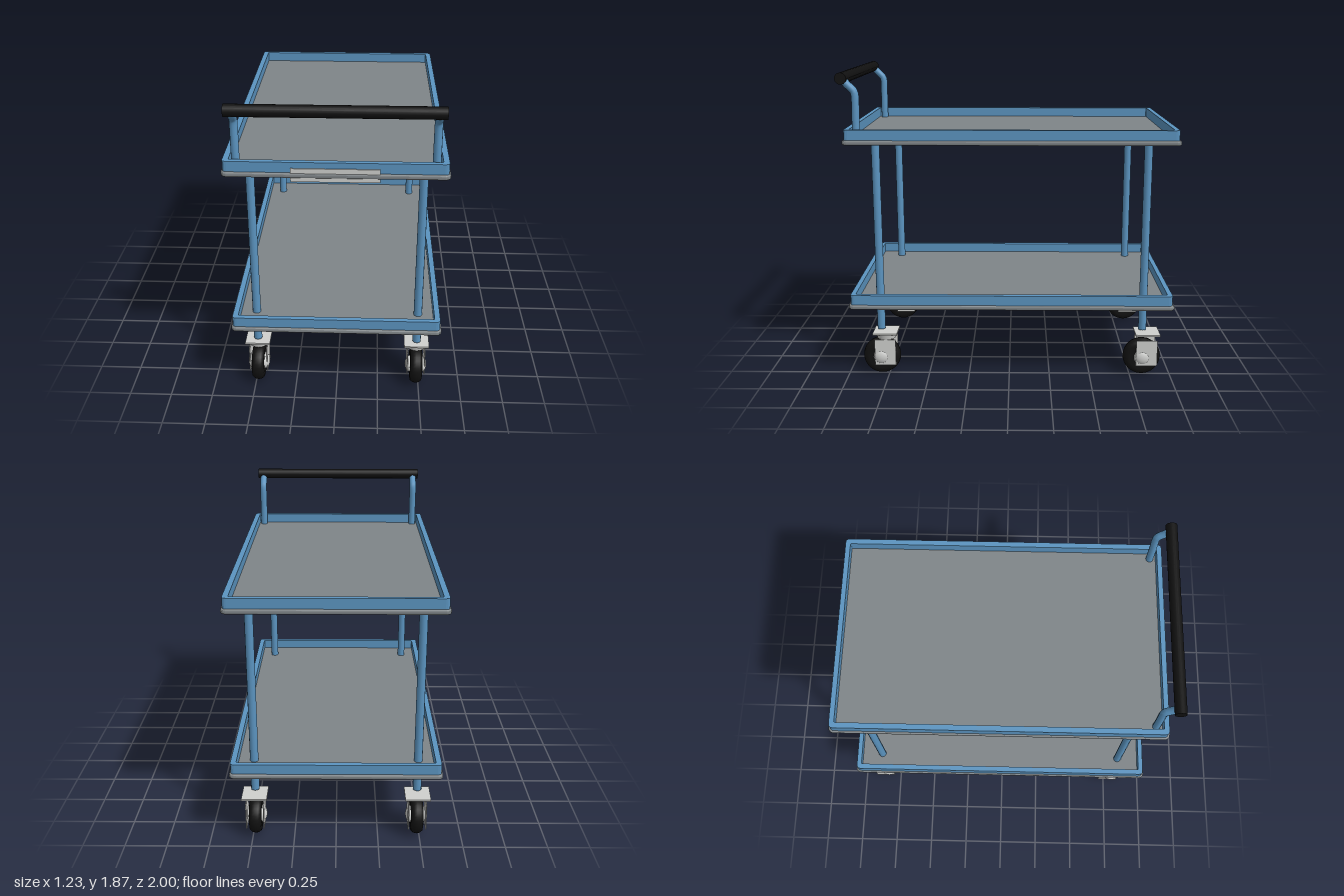
import * as THREE from 'three';

const paint = (name, color) => Object.assign(new THREE.MeshStandardMaterial({ color }), { name });

export function createModel() {
  const blue = paint('blue paint', 0x5b94c0);
  const gray = paint('tray gray', 0x7f8588);
  const silver = paint('light metal', 0xcfd0ce);
  const black = paint('black rubber', 0x111111);

  const cart = new THREE.Group();
  cart.name = 'trolley';

  const add = (parent, name, geometry, material, x = 0, y = 0, z = 0) => {
    const mesh = new THREE.Mesh(geometry, material);
    mesh.name = name;
    mesh.position.set(x, y, z);
    parent.add(mesh);
    return mesh;
  };

  // Rectangle outline with rounded corners, centred on the origin
  const outline = (w, d, r, Type = THREE.Shape) => {
    const s = new Type();
    const a = w / 2, b = d / 2;
    s.moveTo(-a + r, -b);
    s.lineTo(a - r, -b).quadraticCurveTo(a, -b, a, -b + r);
    s.lineTo(a, b - r).quadraticCurveTo(a, b, a - r, b);
    s.lineTo(-a + r, b).quadraticCurveTo(-a, b, -a, b - r);
    s.lineTo(-a, -b + r).quadraticCurveTo(-a, -b, -a + r, -b);
    return s;
  };

  // Trays: a gray deck with a rounded edge and a blue rim standing on it
  const deckGeometry = new THREE.ExtrudeGeometry(outline(1.208, 1.948, 0.02), {
    depth: 0.009, bevelThickness: 0.01, bevelSize: 0.011, bevelSegments: 3, curveSegments: 3,
  }).rotateX(-Math.PI / 2);
  const rimShape = outline(1.212, 1.946, 0.025);
  rimShape.holes.push(outline(1.146, 1.886, 0.006, THREE.Path));
  const rimGeometry = new THREE.ExtrudeGeometry(rimShape, {
    depth: 0.061, bevelEnabled: false, curveSegments: 4,
  }).rotateX(-Math.PI / 2);
  for (const [level, y] of [['lower', 0.453], ['upper', 1.455]]) {
    const tray = new THREE.Group();
    tray.name = level + 'Tray';
    tray.position.set(0, y, -0.014);
    add(tray, 'deck', deckGeometry, gray, 0, 0.01, 0);
    add(tray, 'rim', rimGeometry, blue, 0, 0.028, 0);
    cart.add(tray);
  }

  // Thin label plate on the front edge of the upper tray
  add(cart, 'frontPlate', new THREE.BoxGeometry(0.48, 0.077, 0.006), silver, 0, 1.472, 0.963);

  // Shared leg and caster geometry
  const legGeometry = new THREE.CylinderGeometry(0.025, 0.025, 1.175, 12);
  const tireProfile = [
    [0.04, -0.034], [0.08, -0.038], [0.1, -0.034], [0.112, -0.02], [0.116, 0],
    [0.112, 0.02], [0.1, 0.034], [0.08, 0.038], [0.04, 0.034],
  ].map(([r, h]) => new THREE.Vector2(r, h));
  const tireGeometry = new THREE.LatheGeometry(tireProfile, 32).rotateZ(Math.PI / 2);
  const hubGeometry = new THREE.SphereGeometry(0.05, 20, 8, 0, Math.PI * 2, 0, Math.PI / 2);
  hubGeometry.scale(1, 0.6, 1).rotateZ(-Math.PI / 2);
  const axleGeometry = new THREE.CylinderGeometry(0.05, 0.05, 0.08, 20).rotateZ(Math.PI / 2);
  const forkGeometry = new THREE.BoxGeometry(0.006, 0.165, 0.13);
  const mountGeometry = new THREE.BoxGeometry(0.15, 0.01, 0.15);
  const swivelGeometry = new THREE.CylinderGeometry(0.066, 0.058, 0.034, 24);

  // The front casters swivel, the rear casters are fixed
  const makeCaster = (swivels) => {
    const caster = new THREE.Group();
    caster.name = swivels ? 'swivelCaster' : 'fixedCaster';
    add(caster, 'tire', tireGeometry, black, 0, 0.116, 0);
    add(caster, 'axle', axleGeometry, silver, 0, 0.116, 0);
    for (const side of [-1, 1]) {
      add(caster, 'fork', forkGeometry, silver, side * 0.052, 0.148, -0.026);
      const hub = add(caster, 'hub', hubGeometry, silver, side * 0.036, 0.116, 0);
      if (side < 0) hub.rotation.y = Math.PI;
    }
    add(caster, 'mountPlate', mountGeometry, silver, 0, 0.272, -0.028);
    if (swivels) add(caster, 'swivel', swivelGeometry, silver, 0, 0.25, -0.03);
    return caster;
  };

  // Handle post: upright tube that leans forward to the grip
  const postPath = new THREE.CatmullRomCurve3([
    [1.475, 0.893], [1.6, 0.893], [1.745, 0.893], [1.765, 0.9], [1.795, 0.93], [1.835, 0.967],
  ].map(([y, z]) => new THREE.Vector3(0, y, z)), false, 'centripetal');
  const postGeometry = new THREE.TubeGeometry(postPath, 24, 0.023, 12);

  for (const side of [-1, 1]) {
    for (const z of [0.795, -0.825]) {
      add(cart, 'leg', legGeometry, blue, side * 0.483, 0.8775, z);
      const caster = makeCaster(z > 0);
      caster.position.set(side * 0.483, 0, z);
      cart.add(caster);
    }
    add(cart, 'handlePost', postGeometry, blue, side * 0.54, 0, 0);
  }

  // Push bar
  const gripGeometry = new THREE.CylinderGeometry(0.034, 0.034, 1.154, 20).rotateZ(Math.PI / 2);
  add(cart, 'handleGrip', gripGeometry, black, 0, 1.836, 0.966);

  return cart;
}
